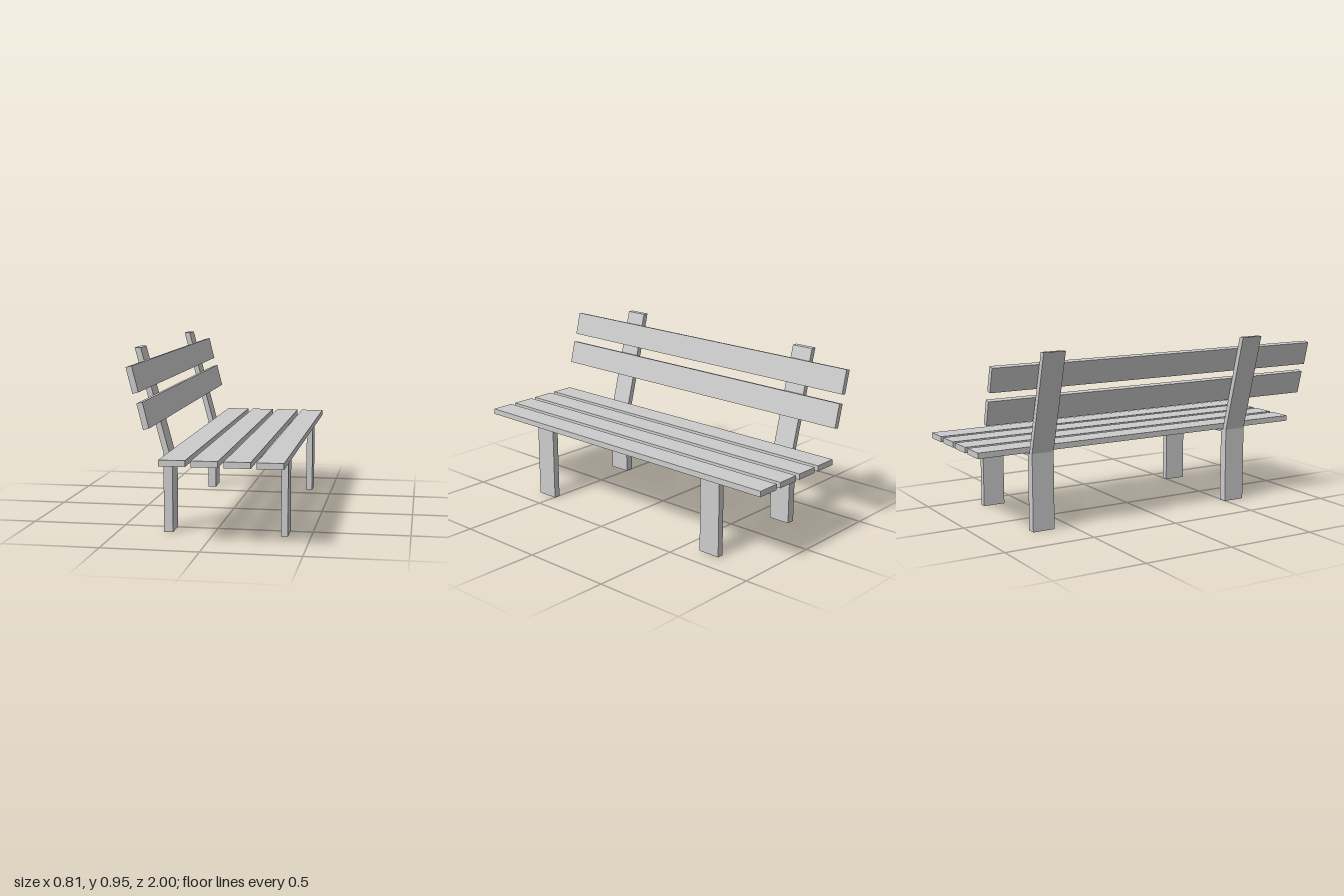
import * as THREE from 'three';

const material = new THREE.MeshStandardMaterial({ color: 0xcccccc, flatShading: true });

// Side outline of one frame: rear leg with leaning back post, seat rail, front leg
const frameOutline = [
  [-0.262, 0], [-0.215, 0], [-0.215, 0.398], [0.348, 0.398], [0.348, 0], [0.383, 0],
  [0.383, 0.409], [-0.23, 0.409], [-0.376, 0.953], [-0.407, 0.953], [-0.262, 0.415],
];

export function createModel() {
  const bench = new THREE.Group();
  bench.name = 'bench';

  const add = (name, geometry, x, y, z, tilt = 0) => {
    const mesh = new THREE.Mesh(geometry, material);
    mesh.name = name;
    mesh.position.set(x, y, z);
    mesh.rotation.z = tilt;
    bench.add(mesh);
  };

  // Two supporting frames
  const shape = new THREE.Shape(frameOutline.map(([x, y]) => new THREE.Vector2(x, y)));
  const frame = new THREE.ExtrudeGeometry(shape, { depth: 0.124, bevelEnabled: false });
  add('leftFrame', frame, 0, 0, -0.725);
  add('rightFrame', frame, 0, 0, 0.496);

  // Four seat slats
  const seatSlat = new THREE.BoxGeometry(0.131, 0.031, 1.98);
  for (let i = 0; i < 4; i++) {
    add(`seatSlat${i + 1}`, seatSlat, -0.139 + i * 0.1597, 0.4255, -0.01);
  }

  // Two tilted backrest slats
  const backSlat = new THREE.BoxGeometry(0.03, 0.131, 1.98);
  add('upperBackSlat', backSlat, -0.324, 0.828, 0.01, 0.245);
  add('lowerBackSlat', backSlat, -0.2735, 0.655, 0.01, 0.245);

  return bench;
}
